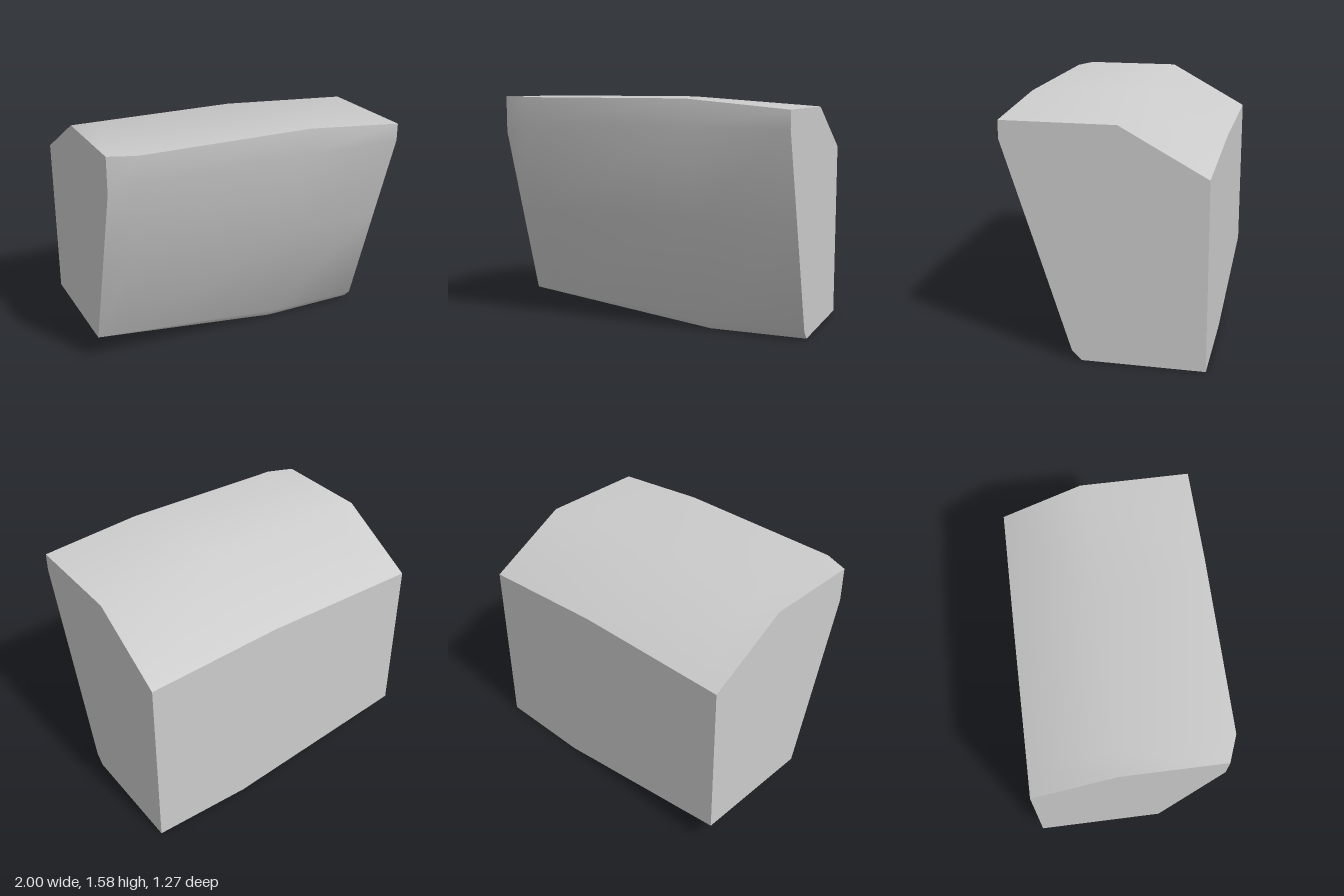
import * as THREE from 'three';
import { toCreasedNormals } from 'three/addons/utils/BufferGeometryUtils.js';

// Cross-sections from right end to left end, each [x, y, z] running:
// bottom back, bottom front, chamfer top, front middle, front upper, roof front, ridge, roof back
const SECTIONS = [
  [[-1, 0.185, -0.635], [-1, 0.185, 0.212], [-1, 0.185, 0.212], [-1, 0.8, 0.403],
    [-1, 1.34, 0.57], [-1, 1.575, 0.57], [-1, 1.575, -0.09], [-1, 1.275, -0.635]],
  [[-0.83, 0.161, -0.635], [-0.83, 0.161, 0.205], [-0.83, 0.172, 0.213], [-0.83, 0.8, 0.428],
    [-0.83, 1.4, 0.635], [-0.83, 1.575, 0.635], [-0.83, 1.575, -0.09], [-0.83, 1.275, -0.635]],
  [[0.33, 0, -0.635], [0.33, 0, 0.16], [0.33, 0.06, 0.212], [0.33, 0.8, 0.457],
    [0.33, 1.4, 0.635], [0.33, 1.575, 0.635], [0.11, 1.575, -0.09], [0.09, 1.275, -0.635]],
  [[1, 0, -0.635], [1, 0, 0.15], [1, 0.06, 0.21], [1, 0.8, 0.444],
    [1, 1.4, 0.635], [1, 1.515, 0.635], [1, 1.515, -0.09], [1, 1.215, -0.635]],
];

function loftBlock(sections) {
  const positions = [];
  const triangle = (a, b, c) => {
    const [p, q, r] = [a, b, c].map((v) => new THREE.Vector3(...v));
    const area = q.clone().sub(p).cross(r.clone().sub(p)).length();
    if (area > 1e-6) positions.push(...a, ...b, ...c);
  };
  const count = sections[0].length;

  // Skin between neighbouring sections
  for (let i = 0; i < sections.length - 1; i++) {
    for (let j = 0; j < count; j++) {
      const k = (j + 1) % count;
      const [s, t] = [sections[i], sections[i + 1]];
      triangle(s[j], t[j], t[k]);
      triangle(s[j], t[k], s[k]);
    }
  }

  // Flat ends
  const first = sections[0];
  const last = sections[sections.length - 1];
  for (let j = 1; j < count - 1; j++) {
    triangle(first[0], first[j], first[j + 1]);
    triangle(last[0], last[j + 1], last[j]);
  }

  const geometry = new THREE.BufferGeometry();
  geometry.setAttribute('position', new THREE.Float32BufferAttribute(positions, 3));
  return toCreasedNormals(geometry, THREE.MathUtils.degToRad(38));
}

export function createModel() {
  const grey = new THREE.MeshStandardMaterial({ color: 0xcccccc });
  grey.name = 'light grey';

  const block = new THREE.Mesh(loftBlock(SECTIONS), grey);
  block.name = 'block';

  const model = new THREE.Group();
  model.name = 'bevelledBlock';
  model.add(block);
  return model;
}
